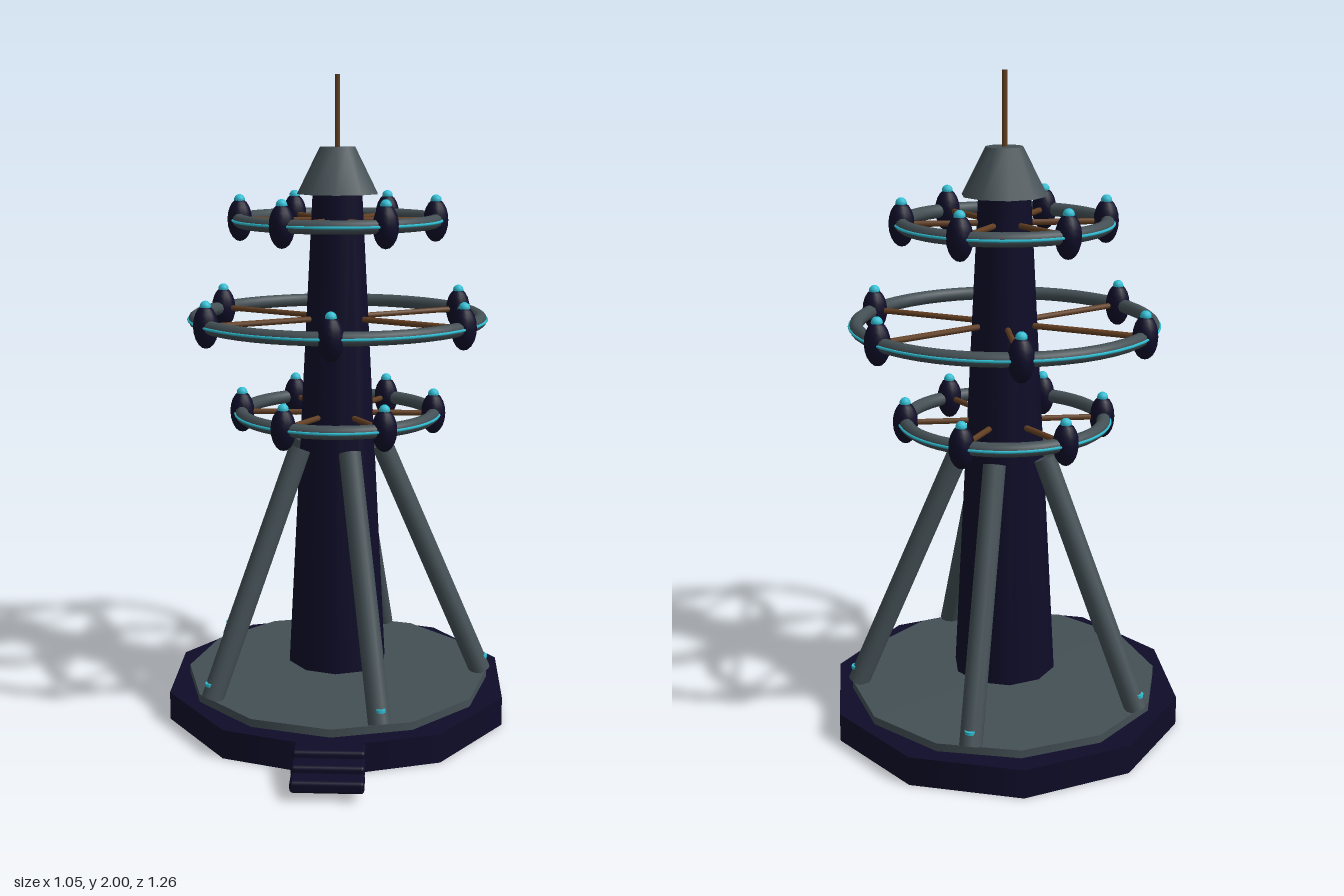
import * as THREE from 'three';
import { RoundedBoxGeometry } from 'three/addons/geometries/RoundedBoxGeometry.js';

const paint = (name, color) => {
  const m = new THREE.MeshStandardMaterial({ color });
  m.name = name;
  return m;
};

export function createModel() {
  const navy = paint('navy', 0x0e0c28);
  const grey = paint('slate grey', 0x445055);
  const copper = paint('copper', 0x633f22);
  const cyan = paint('cyan glow', 0x2fbfd4);

  const model = new THREE.Group();
  model.name = 'beaconTower';
  const tower = new THREE.Group();
  tower.name = 'tower';
  tower.position.z = -0.08;
  model.add(tower);

  const add = (parent, name, geometry, material, x = 0, y = 0, z = 0) => {
    const mesh = new THREE.Mesh(geometry, material);
    mesh.name = name;
    mesh.position.set(x, y, z);
    parent.add(mesh);
    return mesh;
  };
  // upright tapered cylinder between two heights
  const column = (name, rTop, rBottom, y0, y1, sides, material) =>
    add(tower, name, new THREE.CylinderGeometry(rTop, rBottom, y1 - y0, sides), material, 0, (y0 + y1) / 2);
  // round bar between two points
  const bar = (parent, name, a, b, r, sides, material) => {
    const d = b.clone().sub(a);
    const mesh = add(parent, name, new THREE.CylinderGeometry(r, r, d.length(), sides), material);
    mesh.position.copy(a).add(b).multiplyScalar(0.5);
    mesh.quaternion.setFromUnitVectors(new THREE.Vector3(0, 1, 0), d.normalize());
  };
  const polar = (r, a, y) => new THREE.Vector3(r * Math.cos(a), y, r * Math.sin(a));

  // plinth, shaft, cap and mast
  column('base', 0.55, 0.55, 0, 0.09, 10, navy).material.flatShading = false;
  column('deck', 0.483, 0.483, 0.085, 0.115, 12, grey);
  column('shaft', 0.078, 0.16, 0.155, 1.66, 10, navy);
  column('cap', 0.056, 0.128, 1.645, 1.785, 10, grey);
  column('mast', 0.008, 0.008, 1.78, 2, 8, copper);

  // five leaning struts with a small lamp at each foot
  for (let i = 0; i < 5; i++) {
    const a = (i * 2 * Math.PI) / 5;
    bar(tower, 'strut', polar(0.463, a, 0.115), polar(0.14, a, 0.865), 0.034, 12, grey);
    const p = polar(0.469, a, 0.163);
    add(tower, 'footLamp', new THREE.CylinderGeometry(0.016, 0.016, 0.01, 12), cyan, p.x, p.y, p.z);
  }

  // three rings with spokes, pods and lamps
  const podGeometry = new THREE.SphereGeometry(0.038, 14, 10).scale(1, 1.72, 1);
  const lampGeometry = new THREE.SphereGeometry(0.017, 12, 8);
  const rings = [[0.965, 0.3, 0], [1.265, 0.44, Math.PI / 6], [1.565, 0.3, 0]];
  for (const [y, radius, turn] of rings) {
    const ring = new THREE.Group();
    ring.name = 'ring';
    ring.position.y = y;
    tower.add(ring);
    const torus = (r, tube, sides) => new THREE.TorusGeometry(r, tube, sides, 48).rotateX(Math.PI / 2);
    add(ring, 'ringTube', torus(radius, 0.021, 10), grey);
    add(ring, 'ringGlowLine', torus(radius + 0.02, 0.0045, 6), cyan);
    for (let i = 0; i < 6; i++) {
      const a = turn + (i * Math.PI) / 3;
      const p = polar(radius, a, 0);
      bar(ring, 'spoke', polar(0.05, a, 0), p, 0.009, 8, copper);
      add(ring, 'pod', podGeometry, navy, p.x, 0, p.z);
      add(ring, 'podLamp', lampGeometry, cyan, p.x, 0.061, p.z);
    }
  }

  // three front steps
  for (let i = 0; i < 3; i++) {
    add(model, 'step', new RoundedBoxGeometry(0.21, 0.036, 0.07, 2, 0.01), navy,
      0, 0.042 + i * 0.02, 0.595 - i * 0.055);
  }
  return model;
}
